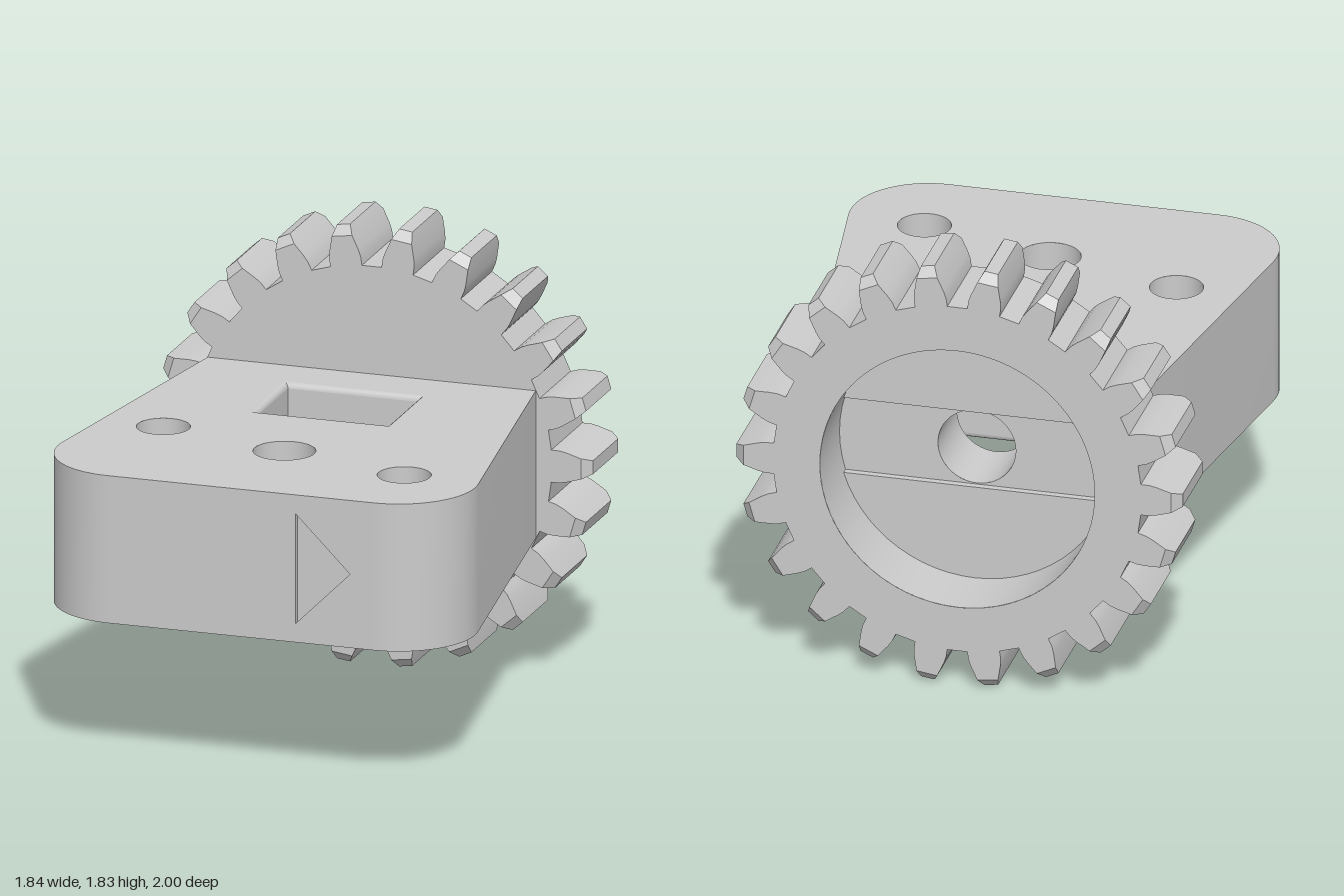
import * as THREE from 'three';
import { toCreasedNormals } from 'three/addons/utils/BufferGeometryUtils.js';

const MAT = new THREE.MeshStandardMaterial({ color: 0xcccccc, side: THREE.DoubleSide });
const INNER = new THREE.MeshStandardMaterial({ color: 0xcccccc, side: THREE.BackSide });

// Skin through a list of equally long rings of [x, y, z] points
function skin(rings, closed = true, crease = 0.5) {
  const n = rings[0].length, index = [];
  for (let r = 0; r + 1 < rings.length; r++) {
    for (let i = 0; i < (closed ? n : n - 1); i++) {
      const a = r * n + i, b = r * n + (i + 1) % n;
      index.push(a, b, b + n, a, b + n, a + n);
    }
  }
  const g = new THREE.BufferGeometry();
  g.setAttribute('position', new THREE.Float32BufferAttribute(rings.flat(2), 3));
  g.setIndex(index);
  return toCreasedNormals(g, crease);
}

const toShape = (pts) => new THREE.Shape(pts.map(([x, y]) => new THREE.Vector2(x, y)));
const toPath = (pts) => new THREE.Path(pts.map(([x, y]) => new THREE.Vector2(x, y)));
const circle = (x, y, r) => new THREE.Path().absarc(x, y, r, 0, Math.PI * 2, true);

// Open tube along z, seen from inside
function boreZ(r, z0, z1) {
  return new THREE.CylinderGeometry(r, r, z1 - z0, 64, 1, true)
    .rotateX(Math.PI / 2).translate(0, 0, (z0 + z1) / 2);
}

const CY = 0.92, BOTTOM = 0.613, TOP = 1.228;
const BACK = -1, FRONT = -0.615;   // gear faces
const BORE = 0.16;

function add(group, name, geometry, material = MAT) {
  const m = new THREE.Mesh(geometry, material);
  m.name = name;
  group.add(m);
  return m;
}

function createGear() {
  const gear = new THREE.Group();
  gear.name = 'gear';
  gear.position.y = CY;

  // Tooth flank: [radius, half width]; the face rings stop at the chamfer
  const flank = [[0.755, 0.067], [0.79, 0.067], [0.82, 0.061], [0.85, 0.052], [0.88, 0.043], [0.918, 0.028]];
  const TEETH = 22;
  const outline = (chamfered) => {
    const half = flank.map(([r, w]) => (chamfered && r > 0.88 ? [0.88, 0.043] : [r, w]));
    const tooth = [...half.map(([r, w]) => [r, -w]), ...half.slice().reverse()];
    const pts = [];
    for (let k = 0; k < TEETH; k++) {
      const a = (k / TEETH) * Math.PI * 2, c = Math.cos(a), s = Math.sin(a);
      for (const [r, w] of tooth) pts.push([r * c - w * s, r * s + w * c]);
    }
    return pts;
  };
  const full = outline(false), face = outline(true);
  const at = (pts, z) => pts.map(([x, y]) => [x, y, z]);
  add(gear, 'gearTeeth', skin([
    at(face, BACK), at(full, BACK + 0.037), at(full, FRONT - 0.037), at(face, FRONT),
  ]));

  // Front face with the bore, back rim around the recess
  const faceShape = (hole) => {
    const distinct = face.filter((p, i) => {
      const q = face[(i + 1) % face.length];
      return Math.hypot(p[0] - q[0], p[1] - q[1]) > 1e-5;
    });
    const s = toShape(distinct);
    s.holes.push(circle(0, 0, hole));
    return new THREE.ShapeGeometry(s, 64);
  };
  const RECESS = 0.565, FLOOR = -0.69, STEP = 0.03, SLOT = 0.165;
  add(gear, 'gearFrontFace', faceShape(BORE).translate(0, 0, FRONT));
  add(gear, 'gearBackRim', faceShape(RECESS).rotateY(Math.PI).translate(0, 0, BACK));
  add(gear, 'recessWall', boreZ(RECESS, BACK, FLOOR), INNER);

  // Recess floor: a shallow slot between two raised segments
  const floor = new THREE.Shape().absarc(0, 0, RECESS, 0, Math.PI * 2);
  floor.holes.push(circle(0, 0, BORE));
  add(gear, 'slotFloor', new THREE.ShapeGeometry(floor, 64).rotateY(Math.PI).translate(0, 0, FLOOR));
  const a = Math.asin(SLOT / RECESS);
  for (const start of [a, Math.PI + a]) {
    const seg = new THREE.Shape().absarc(0, 0, RECESS, start, start + Math.PI - 2 * a);
    add(gear, 'floorSegment', new THREE.ExtrudeGeometry(seg, { depth: STEP, bevelEnabled: false, curveSegments: 32 })
      .translate(0, 0, FLOOR - STEP));
  }
  return gear;
}

function createBody() {
  const body = new THREE.Group();
  body.name = 'body';

  // Right half of the plan as [x, z]: rounded front corner, tapered side
  const CX = 0.557, CZ = 0.68, R = 0.32;
  const right = [];
  for (let i = 0; i <= 20; i++) {
    const a = THREE.MathUtils.degToRad(90 - (98 * i) / 20);
    right.push([CX + R * Math.cos(a), CZ + R * Math.sin(a)]);
  }
  right.push([0.69, FRONT]);
  const left = right.map(([x, z]) => [-x, z]).reverse();
  const level = (pts, y) => pts.map(([x, z]) => [x, y, z]);
  for (const [name, side] of [['rightPlanSide', right], ['leftPlanSide', left]]) {
    add(body, name, skin([level(side, BOTTOM), level(side, TOP)], false));
  }

  // Window with rounded rims at top and bottom
  const WX = 0.275, Z0 = -0.39, Z1 = 0, F = 0.022;
  const rect = (e) => [[-WX - e, Z0 - e], [WX + e, Z0 - e], [WX + e, Z1 + e], [-WX - e, Z1 + e]];
  const rim = [];
  for (let i = 0; i <= 4; i++) {
    const a = (i / 4) * Math.PI / 2;
    rim.push([F * (1 - Math.cos(a)), F * (1 - Math.sin(a))]);
  }
  add(body, 'windowTopRim', skin(rim.map(([e, d]) => level(rect(e), TOP - d))));
  add(body, 'windowBottomRim', skin(rim.map(([e, d]) => level(rect(e), BOTTOM + d)).reverse()));
  const [p0, p1, p2, p3] = rect(0);
  const uWall = [p1, p2, p3, p0];
  add(body, 'windowWalls', skin([level(uWall, BOTTOM + F), level(uWall, TOP - F)], false));
  const backWall = toShape([[-WX, BOTTOM + F], [WX, BOTTOM + F], [WX, TOP - F], [-WX, TOP - F]]);
  backWall.holes.push(circle(0, CY, BORE));
  add(body, 'windowBackWall', new THREE.ShapeGeometry(backWall, 64).translate(0, 0, Z0));

  // Axle bore from the gear recess into the window
  add(body, 'axleBore', boreZ(BORE, -0.69, Z0).translate(0, CY, 0), INNER);

  // Top and bottom faces, vertical holes
  const holes = [[-0.56, 0.31, 0.108], [0, 0.46, 0.125], [0.555, 0.61, 0.108]];
  const plan = (s) => {
    const shape = toShape([...left, ...right].map(([x, z]) => [x, s * z]));
    shape.holes.push(toPath(rect(F).map(([x, z]) => [x, s * z])));
    for (const [x, z, r] of holes) shape.holes.push(circle(x, s * z, r));
    return new THREE.ShapeGeometry(shape, 48);
  };
  add(body, 'topFace', plan(-1).rotateX(-Math.PI / 2).translate(0, TOP, 0));
  add(body, 'bottomFace', plan(1).rotateX(Math.PI / 2).translate(0, BOTTOM, 0));
  for (const [x, z, r] of holes) {
    add(body, 'verticalHole', new THREE.CylinderGeometry(r, r, TOP - BOTTOM, 48, 1, true)
      .translate(x, (TOP + BOTTOM) / 2, z), INNER);
  }

  // Front face with a sunken triangular marker
  const tri = [[0.23, 0.69], [0.23, 1.15], [0.46, CY]];
  const front = toShape([[-CX, BOTTOM], [CX, BOTTOM], [CX, TOP], [-CX, TOP]]);
  front.holes.push(toPath(tri));
  const DEPTH = 0.03;
  add(body, 'frontFace', new THREE.ShapeGeometry(front).translate(0, 0, 1));
  add(body, 'markerFloor', new THREE.ShapeGeometry(toShape(tri)).translate(0, 0, 1 - DEPTH));
  add(body, 'markerWalls', skin([1 - DEPTH, 1].map((z) => tri.map(([x, y]) => [x, y, z]))));
  return body;
}

export function createModel() {
  const model = new THREE.Group();
  model.name = 'gearBlock';
  model.add(createGear(), createBody());
  return model;
}
